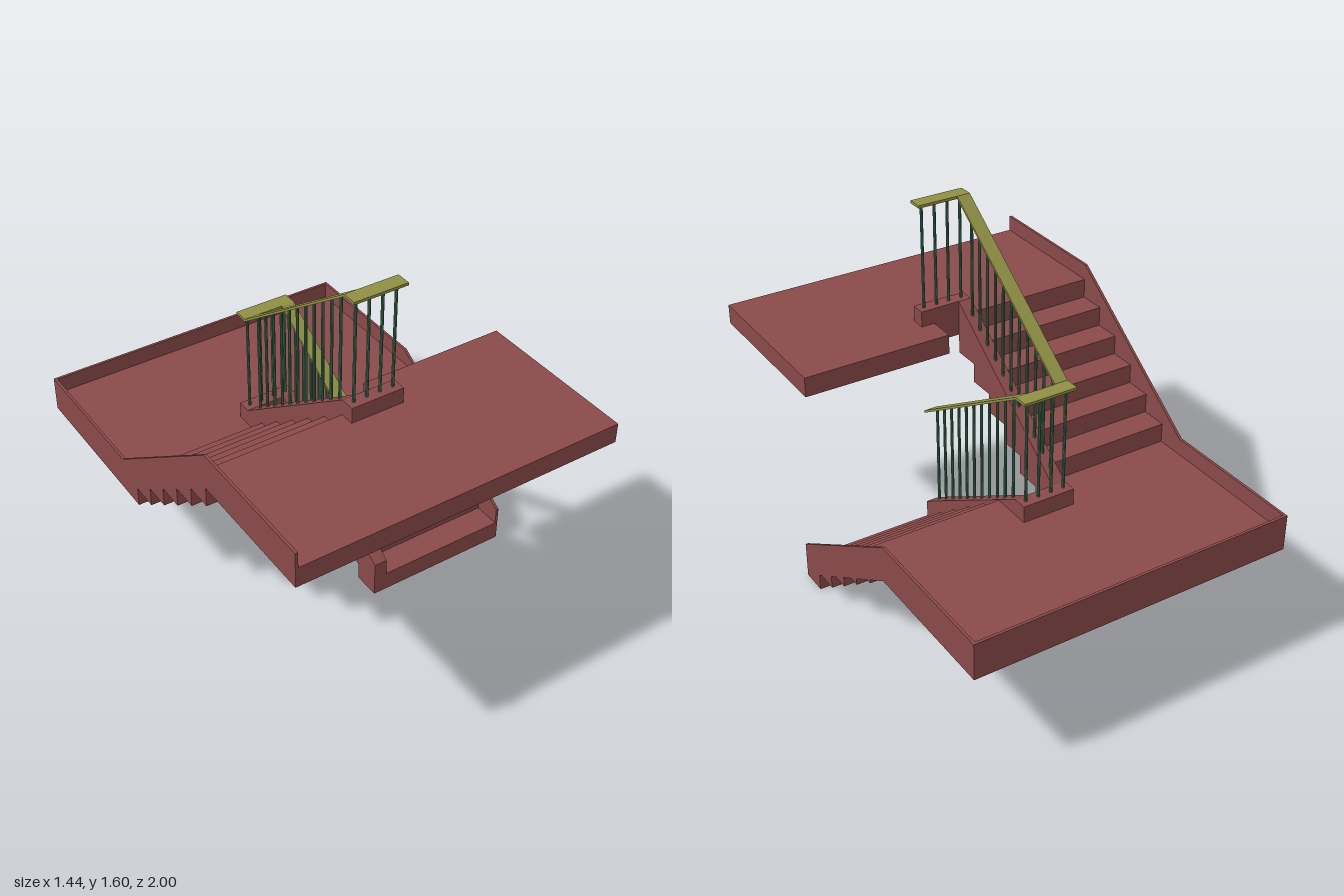
import * as THREE from 'three';

// Main dimensions
const W = 0.722, IN = 0.06, KERB = 0.12, RIM = 0.012;
const RISE = 0.0875, RUN = 0.12;
const Z0 = -0.335, Z1 = 0.385;           // ends of the sloping flights
const RAIL = 0.012;

const mat = (color) => new THREE.MeshStandardMaterial({ color, flatShading: true });

export function createModel() {
  const model = new THREE.Group();
  const stone = mat(0x8b4a4a), wood = mat(0x8f8f45), metal = mat(0x427a5a);

  const add = (name, geometry, material) => {
    const mesh = new THREE.Mesh(geometry, material);
    mesh.name = name;
    model.add(mesh);
    return mesh;
  };

  // Box given by its limits on each axis
  const box = (name, [xa, xb], [ya, yb], [za, zb], material = stone) =>
    add(name, new THREE.BoxGeometry(xb - xa, yb - ya, zb - za), material)
      .position.set((xa + xb) / 2, (ya + yb) / 2, (za + zb) / 2);

  const shapeOf = (pts) => new THREE.Shape(pts.map(([a, b]) => new THREE.Vector2(a, b)));

  // Side profile in (z, y), spanning xa..xb
  const side = (name, xa, xb, pts, material = stone) => {
    const g = new THREE.ExtrudeGeometry(shapeOf(pts), { depth: xb - xa, bevelEnabled: false });
    g.rotateY(-Math.PI / 2).translate(xb, 0, 0);
    return add(name, g, material);
  };

  // Floor plan in (x, z), from yTop down
  const slab = (name, yTop, pts) => {
    const g = new THREE.ExtrudeGeometry(shapeOf(pts), { depth: RISE, bevelEnabled: false });
    g.rotateX(Math.PI / 2).translate(0, yTop, 0);
    return add(name, g, stone);
  };

  // Landings, cut back around the stairwell
  const zMid = Z0 + RUN;
  slab('lowerLanding', 6 * RISE, [
    [-W, -1], [W, -1], [W, zMid], [IN, zMid], [IN, Z0], [-IN, Z0], [-IN, zMid], [-W, zMid]]);
  slab('upperLanding', 12 * RISE, [
    [-W, 1], [-W, Z1], [IN, Z1], [IN, Z1 - RUN], [W, Z1 - RUN], [W, 1]]);

  // Steps of both flights
  for (let i = 0; i < 5; i++) {
    const zl = Z1 - i * RUN, zu = zMid + i * RUN;
    box('lowerStep', [IN, W], [i * RISE, (i + 1) * RISE], [zl - RUN, zl]);
    box('upperStep', [-W, -IN], [(i + 6) * RISE, (i + 7) * RISE], [zu, zu + RUN]);
  }

  // Stringers: wide beside the stairwell, thin along the outside
  const lower = [[Z1, 0], [Z1, 0.165], [Z0, 0.6], [Z0, 0.44]];
  const upper = [[Z0, 0.44], [Z0, 0.6], [Z1, 1.12], [Z1, 0.96]];
  side('lowerInnerStringer', IN, KERB, lower);
  side('lowerOuterStringer', W - RIM, W, lower);
  side('upperInnerStringer', -KERB, -IN, upper);
  side('upperOuterStringer', -W, -W + RIM, upper);

  // Kerbs at the turns and rims around the landings
  box('lowerKerb', [-KERB, KERB], [0.44, 0.6], [Z0 - 0.065, Z0]);
  box('upperKerb', [-KERB, KERB], [0.9625, 1.12], [Z1, Z1 + 0.065]);
  box('backRim', [-W, W], [0.44, 0.6], [-1, -1 + RIM]);
  box('lowerLeftRim', [W - RIM, W], [0.44, 0.6], [-1, Z0]);
  box('lowerRightRim', [-W, -W + RIM], [0.44, 0.6], [-1, Z0]);
  box('upperRightRim', [-W, -W + RIM], [0.9625, 1.12], [Z1, 1]);

  // Handrails: two sloping, two level at the turns
  const slopingRail = (name, xa, xb, ya, yb) =>
    side(name, xa, xb, [[Z0, ya - RAIL], [Z0, ya], [Z1, yb], [Z1, yb - RAIL]], wood);
  slopingRail('lowerHandrail', IN, KERB, 1.075, 0.642);
  slopingRail('upperHandrail', -KERB, -IN, 1.075, 1.597);
  box('middleHandrail', [-KERB, KERB], [1.075 - RAIL, 1.075], [Z0 - 0.065, Z0], wood);
  box('topHandrail', [-KERB, KERB], [1.597 - RAIL, 1.597], [Z1, Z1 + 0.065], wood);

  // Balusters
  const baluster = (x, z, ya, yb) =>
    add('baluster', new THREE.CylinderGeometry(0.0065, 0.0065, yb - ya, 8), metal)
      .position.set(x, (ya + yb) / 2, z);
  const lerp = THREE.MathUtils.lerp;
  for (let i = 0; i < 11; i++) {
    const z = -0.276 + i * 0.06, t = (z - Z0) / (Z1 - Z0);
    baluster(0.09, z, lerp(0.6, 0.165, t) - 0.005, lerp(1.075, 0.642, t) - 0.008);
    baluster(-0.09, z, lerp(0.6, 1.12, t) - 0.005, lerp(1.075, 1.597, t) - 0.008);
  }
  for (const x of [-0.09, -0.03, 0.03, 0.09]) {
    baluster(x, Z0 - 0.032, 0.6, 1.068);
    baluster(x, Z1 + 0.032, 1.12, 1.59);
  }

  return model;
}
